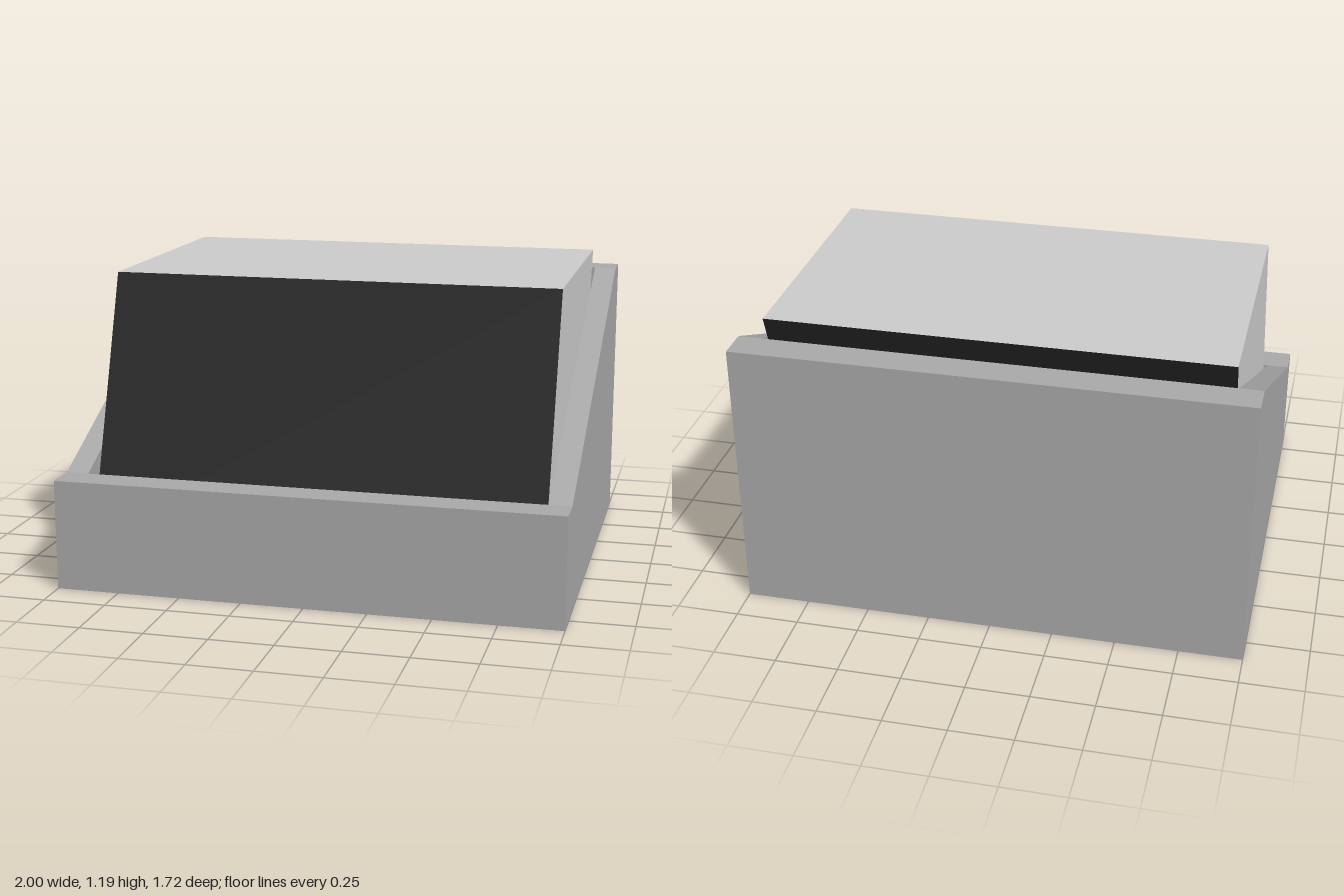
import * as THREE from 'three';

export function createModel() {
  const model = new THREE.Group();
  const shell = new THREE.MeshStandardMaterial({ color: 0xa9a9a9, flatShading: true });
  const grey = new THREE.MeshStandardMaterial({ color: 0xcccccc, flatShading: true });
  const black = new THREE.MeshStandardMaterial({ color: 0x252525, flatShading: true });

  const depth = 0.86, lip = 0.73, inner = 0.91; // housing half-depth, cavity half-depth and half-width
  const frontTop = 0.44, backTop = 1.11, floorTop = 0.18;

  const add = (name, geometry, material, x = 0, y = 0, z = 0) => {
    const mesh = new THREE.Mesh(geometry, material);
    mesh.name = name;
    mesh.position.set(x, y, z);
    model.add(mesh);
    return mesh;
  };

  // Sloping side walls: profile in z and y, extruded across x
  const profile = new THREE.Shape([
    [depth, 0], [depth, frontTop], [lip, frontTop],
    [-lip, backTop], [-depth, backTop], [-depth, 0],
  ].map(([z, y]) => new THREE.Vector2(z, y)));
  const wall = new THREE.ExtrudeGeometry(profile, { depth: 1 - inner, bevelEnabled: false });
  wall.rotateY(-Math.PI / 2);
  add('leftWall', wall, shell, 1);
  add('rightWall', wall, shell, -inner);

  // Front wall, back wall and floor close the housing
  const thick = depth - lip, middle = (depth + lip) / 2;
  add('frontWall', new THREE.BoxGeometry(2 * inner, frontTop, thick), shell, 0, frontTop / 2, middle);
  add('backWall', new THREE.BoxGeometry(2 * inner, backTop, thick), shell, 0, backTop / 2, -middle);
  add('floor', new THREE.BoxGeometry(2 * inner, floorTop, 2 * lip), shell, 0, floorTop / 2);

  // Slanted block in the cavity, sheared forward towards its foot, with black front and back
  const top = 1.19, height = top - floorTop;
  const block = new THREE.BoxGeometry(1.8, height, 1.09);
  block.translate(0, floorTop + height / 2, -0.175);
  const p = block.attributes.position;
  for (let i = 0; i < p.count; i++) p.setZ(i, p.getZ(i) + (top - p.getY(i)) * 0.347);
  block.computeVertexNormals();
  add('slantedBlock', block, [grey, grey, grey, grey, black, black]);

  return model;
}
